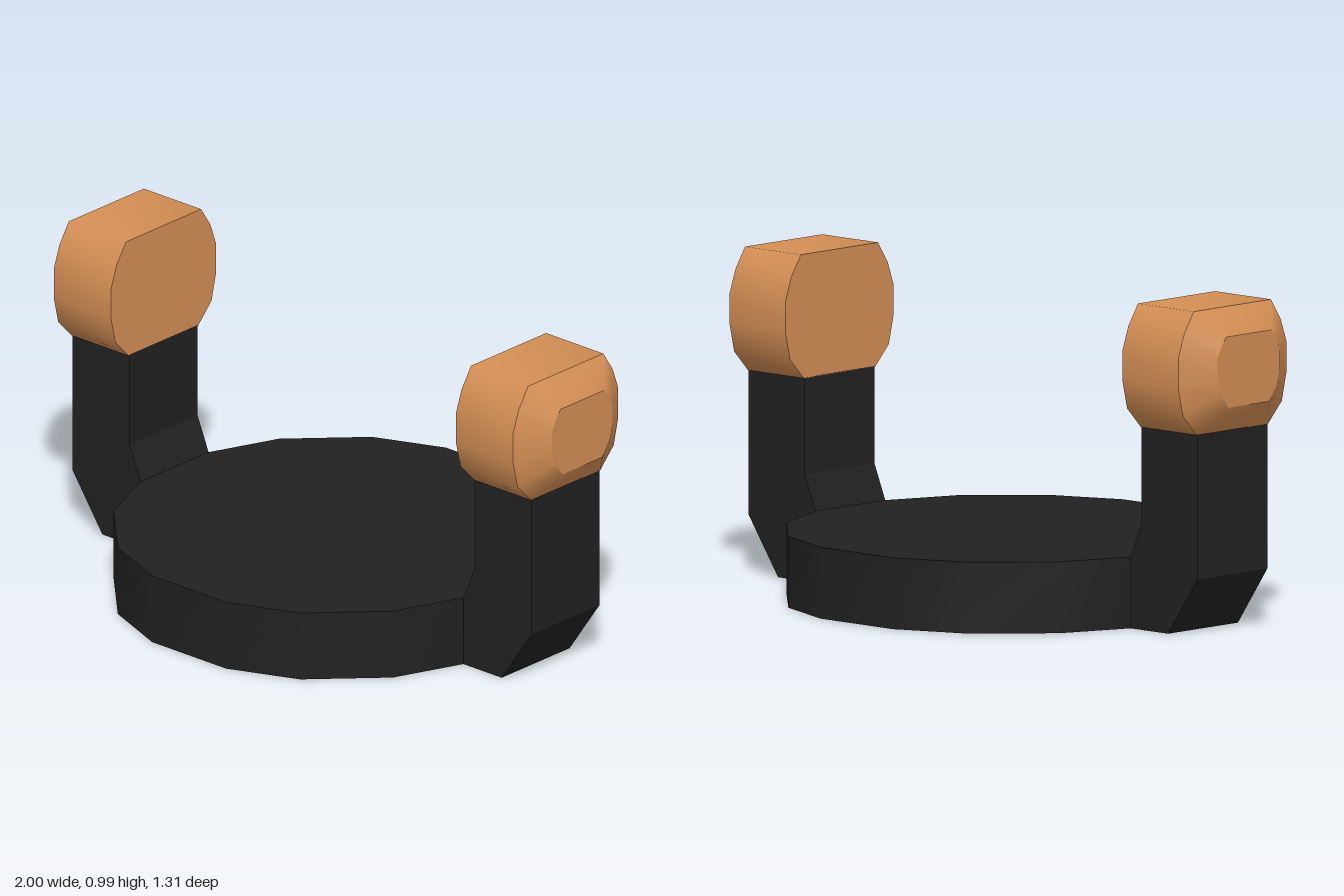
import * as THREE from 'three';
import { mergeGeometries } from 'three/addons/utils/BufferGeometryUtils.js';

// Mirrors a right-hand half outline (bottom to top) into a closed counterclockwise ring
const mirrorRing = (half) => [...half, ...half.map(([u, v]) => [-u, v]).reverse()];

const alongX = (ring, x) => ring.map(([u, v]) => [x, v, -u]);
const alongY = (ring, y) => ring.map(([u, v]) => [u, y, -v]);

function surface(points, index) {
  const geometry = new THREE.BufferGeometry();
  geometry.setAttribute('position', new THREE.Float32BufferAttribute(points.flat(), 3));
  geometry.setIndex(index);
  geometry.computeVertexNormals();
  return geometry;
}

// Smooth band between two rings
function band(a, b) {
  const n = a.length, index = [];
  for (let i = 0; i < n; i++) {
    const j = (i + 1) % n;
    index.push(i, j, n + j, i, n + j, n + i);
  }
  return surface([...a, ...b], index);
}

// Flat lid on a convex ring
function lid(ring, flip = false) {
  const index = [];
  for (let i = 1; i < ring.length - 1; i++) index.push(0, ...(flip ? [i + 1, i] : [i, i + 1]));
  return surface(ring, index);
}

// Solid through a list of rings, with sharp edges at each ring
function stack(rings) {
  const pieces = [lid(rings[0], true), lid(rings[rings.length - 1])];
  for (let i = 1; i < rings.length; i++) pieces.push(band(rings[i - 1], rings[i]));
  return mergeGeometries(pieces);
}

export function createModel() {
  const model = new THREE.Group();
  model.name = 'discWithArms';
  const black = new THREE.MeshStandardMaterial({ name: 'black', color: 0x212121 });
  const copper = new THREE.MeshStandardMaterial({ name: 'copper', color: 0xd38e54 });

  const add = (parent, name, geometry, material) => {
    const mesh = new THREE.Mesh(geometry, material);
    mesh.name = name;
    parent.add(mesh);
  };

  // Central sixteen-sided disc
  const disc = mirrorRing([
    [0.15, -0.657], [0.37, -0.568], [0.567, -0.37], [0.655, -0.152],
    [0.655, 0.152], [0.567, 0.37], [0.37, 0.568], [0.15, 0.657],
  ]);
  add(model, 'disc', stack([alongY(disc, 0), alongY(disc, 0.217)]), black);

  // Bent arm, extruded across z
  const profile = new THREE.Shape([
    [0.655, 0], [0.81, 0], [0.932, 0.177], [0.932, 0.62],
    [0.70, 0.62], [0.70, 0.325], [0.655, 0.217],
  ].map(([x, y]) => new THREE.Vector2(x, y)));
  const arm = new THREE.ExtrudeGeometry(profile, { depth: 0.304, bevelEnabled: false });
  arm.translate(0, 0, -0.152);

  // Rounded end knob with a tapered outer face
  const outer = mirrorRing([
    [0.155, 0.617], [0.215, 0.68], [0.235, 0.765], [0.235, 0.86], [0.21, 0.93], [0.168, 0.994],
  ]);
  const inner = mirrorRing([
    [0.09, 0.70], [0.122, 0.745], [0.135, 0.79], [0.135, 0.85], [0.122, 0.885], [0.098, 0.916],
  ]);
  const knob = stack([alongX(outer, 0.70), alongX(outer, 0.932), alongX(inner, 1)]);

  // Same arm on both sides, turned half way round
  for (const side of ['left', 'right']) {
    const group = new THREE.Group();
    group.name = side + 'Side';
    if (side === 'right') group.rotation.y = Math.PI;
    add(group, side + 'Arm', arm, black);
    add(group, side + 'Knob', knob, copper);
    model.add(group);
  }
  return model;
}
